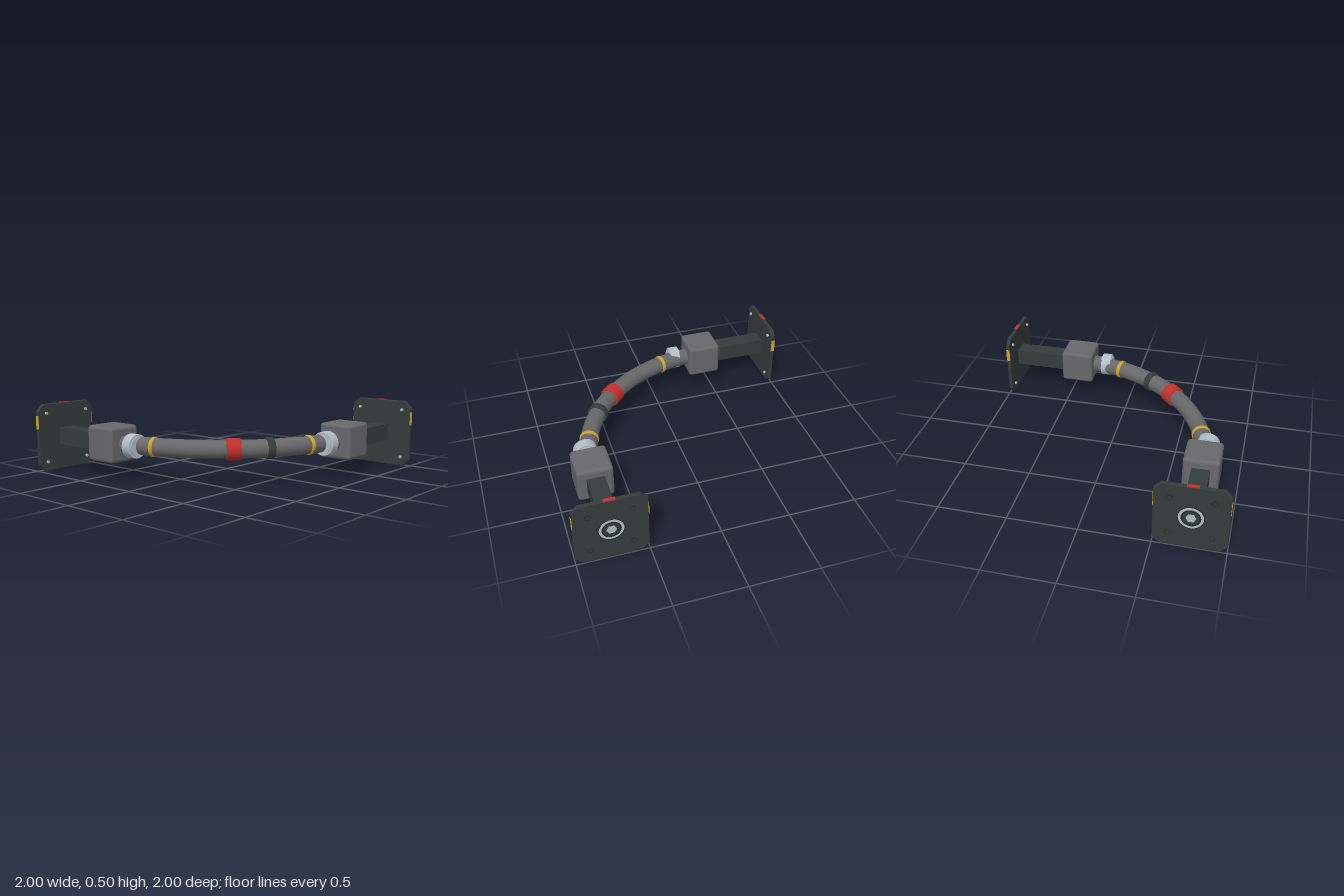
import * as THREE from 'three';
import { RoundedBoxGeometry } from 'three/addons/geometries/RoundedBoxGeometry.js';

const mat = (name, color) => {
  const m = new THREE.MeshStandardMaterial({ color });
  m.name = name;
  return m;
};

export function createModel() {
  const dark = mat('darkMetal', 0x343c3c);
  const black = mat('recessBlack', 0x222828);
  const grey = mat('rubberGrey', 0x68686b);
  const light = mat('paleSteel', 0xb2bec6);
  const red = mat('red', 0xc0302a);
  const gold = mat('gold', 0xcfa42a);

  const model = new THREE.Group();
  const add = (parent, name, geo, material, x = 0, y = 0, z = 0) => {
    const mesh = new THREE.Mesh(geo, material);
    mesh.name = name;
    mesh.position.set(x, y, z);
    parent.add(mesh);
    return mesh;
  };
  // Cylinder lying along x
  const rod = (r, length, sides = 32) =>
    new THREE.CylinderGeometry(r, r, length, sides).rotateZ(-Math.PI / 2);
  // Hollow sleeve around y with chamfered rims, one lathe per flat step for crisp edges
  const sleeve = (outer, inner, length, chamfer = 0.006) => {
    const h = length / 2, c = chamfer;
    const ring = [[inner, -h], [outer - c, -h], [outer - c, -h], [outer, -h + c], [outer, -h + c],
      [outer, h - c], [outer, h - c], [outer - c, h], [outer - c, h], [inner, h]];
    return new THREE.LatheGeometry(ring.map(([x, y]) => new THREE.Vector2(x, y)), 40);
  };

  // Mounting plate outline with cut corners
  const s = 0.246, k = 0.2;
  const outline = new THREE.Shape([[-k, -s], [k, -s], [s, -k], [s, k], [k, s], [-k, s], [-s, k], [-s, -k]]
    .map(([x, y]) => new THREE.Vector2(x, y)));
  const plateGeo = new THREE.ExtrudeGeometry(outline, {
    depth: 0.021, bevelEnabled: true, bevelSize: 0.004, bevelThickness: 0.004, bevelSegments: 1,
  }).rotateY(Math.PI / 2);

  // One end: plate, arm, block and collar, pointing outward along +x
  const makeEnd = (name) => {
    const end = new THREE.Group();
    end.name = name;
    add(end, 'mountingPlate', plateGeo, dark, 0.973);
    add(end, 'squareArm', new THREE.BoxGeometry(0.43, 0.126, 0.126), dark, 0.76);
    add(end, 'block', new RoundedBoxGeometry(0.255, 0.255, 0.255, 4, 0.025), grey, 0.4375);
    add(end, 'collar', rod(0.07, 0.09), light, 0.207, 0, -0.005);
    add(end, 'collarBand', sleeve(0.086, 0.06, 0.075, 0.003).rotateZ(-Math.PI / 2), light, 0.207, 0, -0.005);

    // Concentric emblem-free socket on the outer face
    add(end, 'socketDisc', rod(0.09, 0.003), black, 0.9975);
    add(end, 'socketRing', sleeve(0.084, 0.066, 0.004, 0.001).rotateZ(-Math.PI / 2), light, 0.998);
    add(end, 'socketFloor', rod(0.055, 0.002), dark, 0.9985);
    add(end, 'socketHex', rod(0.035, 0.004, 6), light, 0.999);

    for (const y of [-1, 1]) {
      for (const z of [-1, 1]) {
        add(end, 'boltRecess', rod(0.021, 0.002, 24), black, 0.9993, y * 0.145, z * 0.145);
        add(end, 'boltCover', rod(0.017, 0.002, 24), dark, 0.9997, y * 0.145, z * 0.145);
        add(end, 'nut', rod(0.011, 0.018, 6), light, 0.963, y * 0.183, z * 0.183);
      }
    }
    // Painted edge marks
    for (const z of [-1, 1]) {
      add(end, 'sideMark', new THREE.BoxGeometry(0.028, 0.1, 0.004), gold, 0.985, 0.117, z * 0.249);
    }
    add(end, 'topMark', new THREE.BoxGeometry(0.026, 0.006, 0.08), red, 0.985, 0.25, 0);
    model.add(end);
    return end;
  };

  makeEnd('leftEnd').position.set(0, 0.25, 0.75);
  const back = makeEnd('backEnd');
  back.position.set(-0.75, 0.25, 0);
  back.rotation.y = Math.PI / 2;

  // Bent hose: circular arc between the two blocks
  const R = 1.184, cx = 0.437, cz = -0.437;
  const from = THREE.MathUtils.degToRad(93), sweep = THREE.MathUtils.degToRad(84);
  add(model, 'hose', new THREE.TorusGeometry(R, 0.064, 28, 72, sweep).rotateZ(from).rotateX(Math.PI / 2),
    grey, cx, 0.25, cz);

  // Bands around the hose: name, material, angle, radius, length
  const up = new THREE.Vector3(0, 1, 0);
  const bands = [
    ['goldBand', gold, 107.8, 0.07, 0.03],
    ['darkBand', dark, 122.8, 0.076, 0.052],
    ['redBand', red, 135, 0.077, 0.1],
    ['goldBand', gold, 162.2, 0.07, 0.03],
  ];
  for (const [name, material, degrees, radius, length] of bands) {
    const a = THREE.MathUtils.degToRad(degrees);
    const band = add(model, name, sleeve(radius, 0.058, length), material,
      cx + R * Math.cos(a), 0.25, cz + R * Math.sin(a));
    band.quaternion.setFromUnitVectors(up, new THREE.Vector3(-Math.sin(a), 0, Math.cos(a)));
  }

  return model;
}
